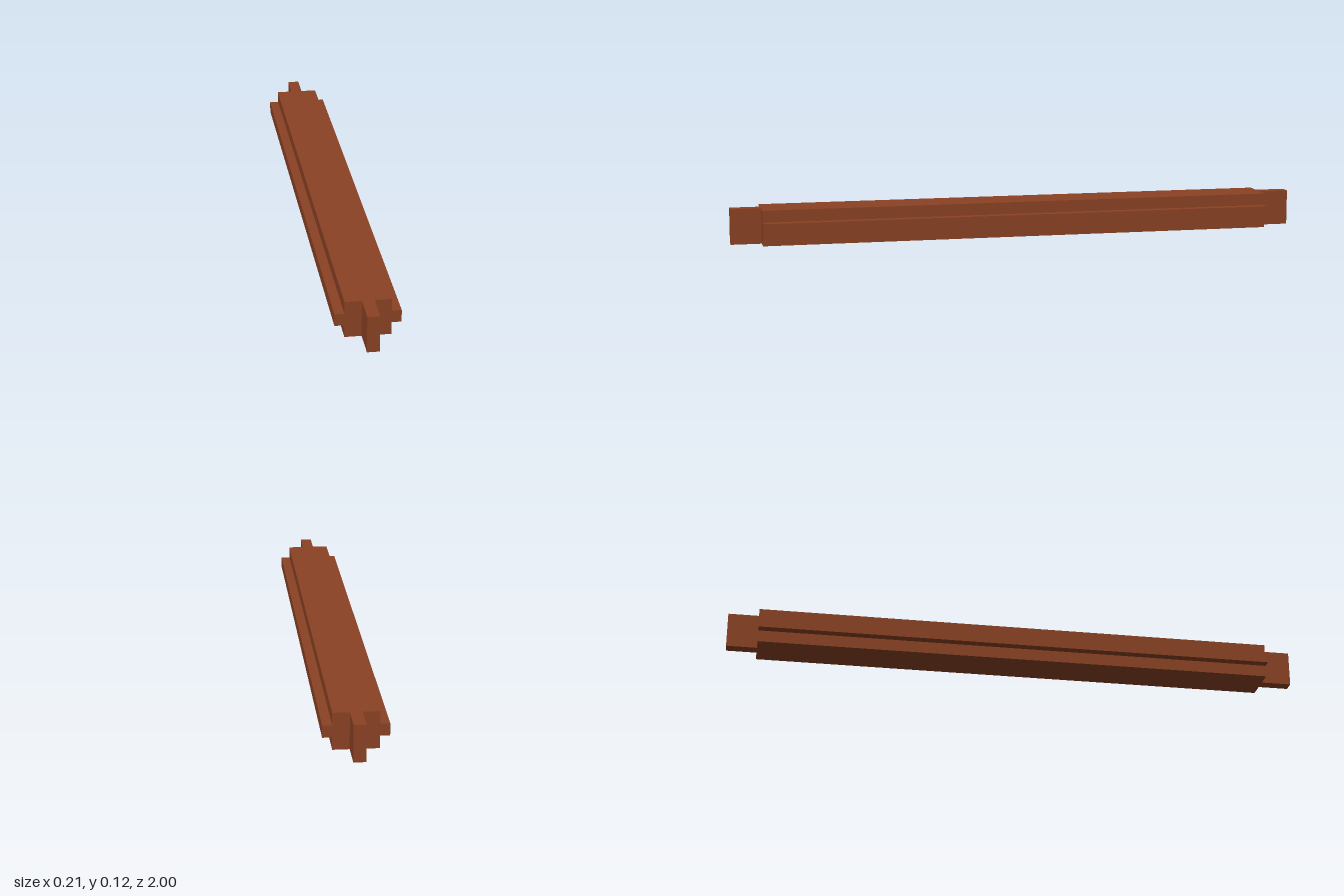
import * as THREE from 'three';

const HEIGHT = 0.122;      // full height of the rail
const HALF_BODY = 0.074;   // half width of the main beam
const HALF_TONGUE = 0.105; // half width across the side tongues
const BODY_LENGTH = 1.79;
const TENON_LENGTH = 0.105;

export function createModel() {
  const group = new THREE.Group();
  group.name = 'rail';
  const wood = new THREE.MeshStandardMaterial({ color: 0x8b4224 });
  wood.name = 'reddish brown wood';

  // Beam: cross-shaped section with a tongue along each side
  const low = 0.041, high = 0.081;
  const half = [[HALF_BODY, 0], [HALF_BODY, low], [HALF_TONGUE, low],
    [HALF_TONGUE, high], [HALF_BODY, high], [HALF_BODY, HEIGHT]];
  const mirrored = half.map(([x, y]) => [-x, y]).reverse();
  const section = new THREE.Shape([...half, ...mirrored].map(([x, y]) => new THREE.Vector2(x, y)));
  const beamGeometry = new THREE.ExtrudeGeometry(section, { depth: BODY_LENGTH, bevelEnabled: false });
  beamGeometry.translate(0, 0, -BODY_LENGTH / 2);
  const beam = new THREE.Mesh(beamGeometry, wood);
  beam.name = 'tonguedBeam';
  group.add(beam);

  // Thin full-height tenon at each end
  for (const [name, side] of [['frontTenon', 1], ['backTenon', -1]]) {
    const tenon = new THREE.Mesh(new THREE.BoxGeometry(0.04, HEIGHT, TENON_LENGTH), wood);
    tenon.position.set(0, HEIGHT / 2, side * (BODY_LENGTH + TENON_LENGTH) / 2);
    tenon.name = name;
    group.add(tenon);
  }
  return group;
}
